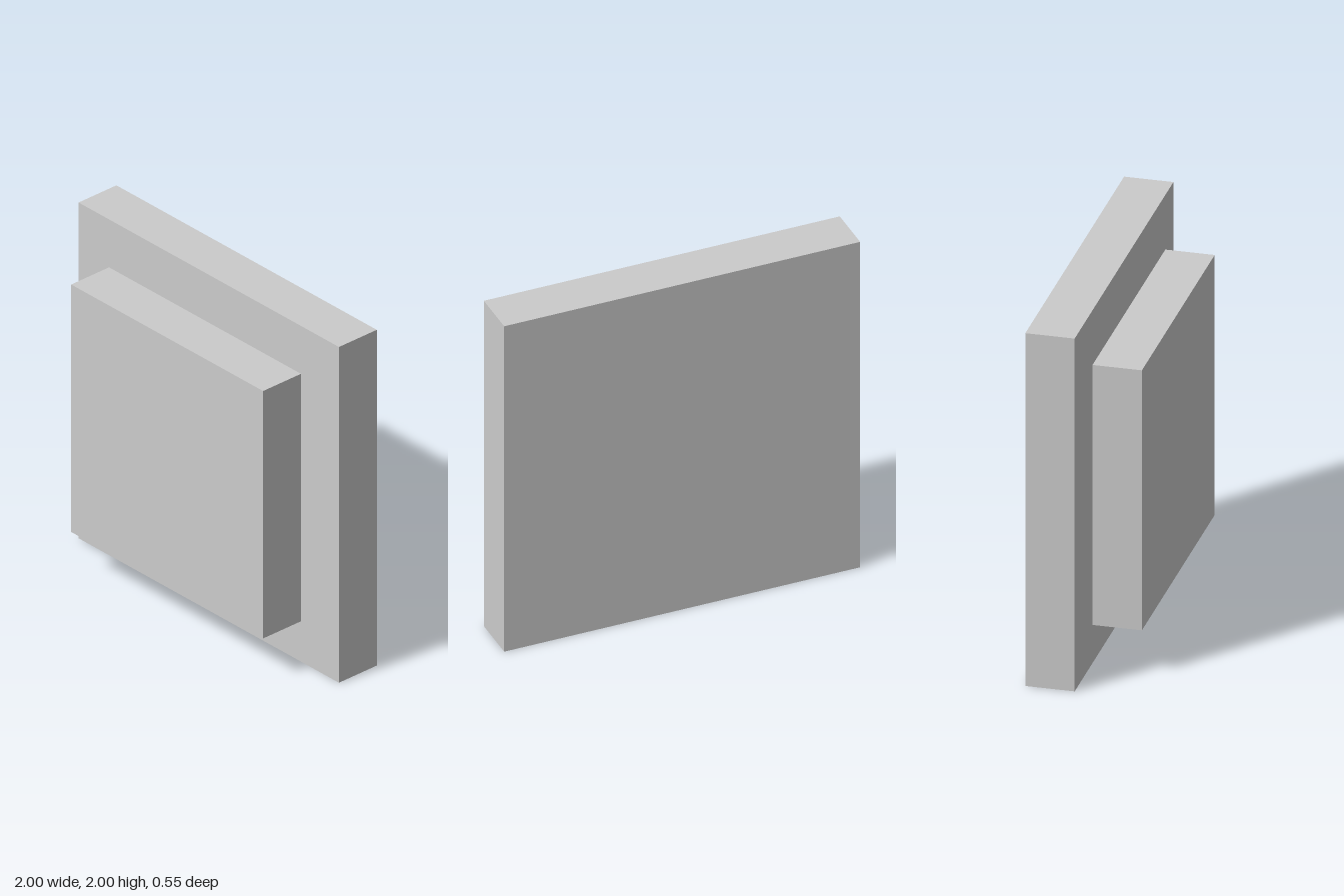
import * as THREE from 'three';

const THICKNESS = 0.263;
const GAP = 0.026;

// Upright square slab, centred at y = 1
function slab(name, size, z, material) {
  const mesh = new THREE.Mesh(new THREE.BoxGeometry(size, size, THICKNESS), material);
  mesh.name = name;
  mesh.position.set(0, 1, z);
  return mesh;
}

export function createModel() {
  const group = new THREE.Group();
  group.name = 'layeredPanel';
  const material = new THREE.MeshStandardMaterial({ color: 0xcccccc });
  const offset = (THICKNESS + GAP) / 2;

  // Large rear slab and smaller front slab, separated by a narrow gap
  group.add(slab('backPanel', 2, -offset, material));
  group.add(slab('frontPanel', 1.474, offset, material));
  return group;
}
